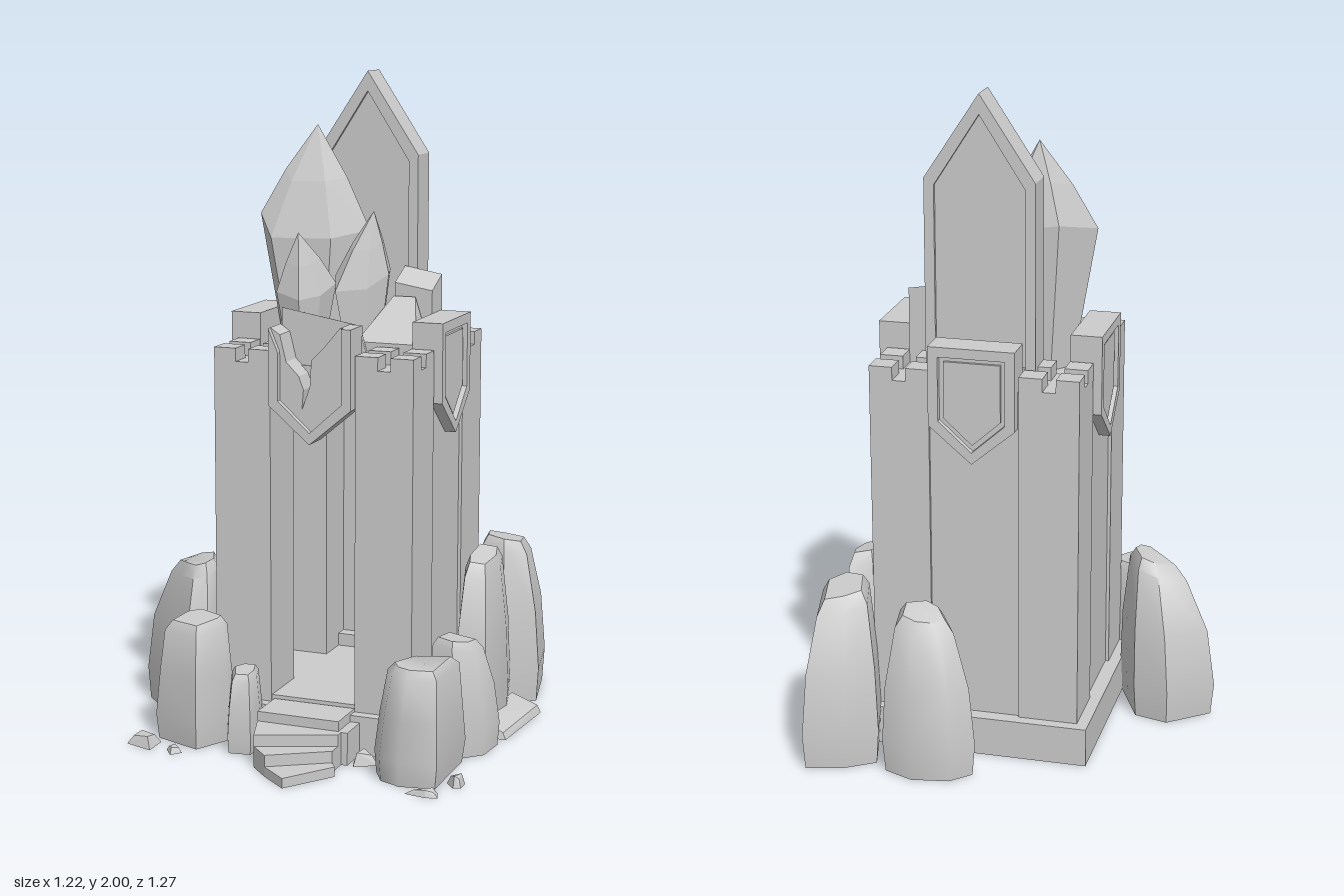
import * as THREE from 'three';
import { ConvexGeometry } from 'three/addons/geometries/ConvexGeometry.js';
import { toCreasedNormals } from 'three/addons/utils/BufferGeometryUtils.js';

const mat = new THREE.MeshStandardMaterial({ color: 0xcccccc, side: THREE.DoubleSide });

// Adds a mesh, leaving out any face that lies on the ground (parts are open underneath)
function add(parent, name, geometry) {
  const src = geometry.index ? geometry.toNonIndexed() : geometry;
  const p = src.attributes.position, n = src.attributes.normal;
  const pos = [], nor = [];
  for (let i = 0; i < p.count; i += 3) {
    if (Math.max(p.getY(i), p.getY(i + 1), p.getY(i + 2)) < 1e-4) continue;
    for (let j = i; j < i + 3; j++) {
      pos.push(p.getX(j), p.getY(j), p.getZ(j));
      nor.push(n.getX(j), n.getY(j), n.getZ(j));
    }
  }
  const open = new THREE.BufferGeometry();
  open.setAttribute('position', new THREE.Float32BufferAttribute(pos, 3));
  open.setAttribute('normal', new THREE.Float32BufferAttribute(nor, 3));
  const mesh = new THREE.Mesh(open, mat);
  mesh.name = name;
  parent.add(mesh);
}

// Box given by its min and max corners
function box(parent, name, x0, x1, y0, y1, z0, z1) {
  const g = new THREE.BoxGeometry(x1 - x0, y1 - y0, z1 - z0);
  g.translate((x0 + x1) / 2, (y0 + y1) / 2, (z0 + z1) / 2);
  add(parent, name, g);
}

const toShape = (pts) => new THREE.Shape(pts.map(([x, y]) => new THREE.Vector2(x, y)));

// Flat outline extruded along z from z0 to z1, or laid flat and extruded upwards
function plate(parent, name, pts, z0, z1, hole, flat) {
  const shape = toShape(pts);
  if (hole) shape.holes.push(toShape(hole));
  const g = new THREE.ExtrudeGeometry(shape, { depth: z1 - z0, bevelEnabled: false });
  g.translate(0, 0, z0);
  if (flat) g.rotateX(-Math.PI / 2);
  add(parent, name, g);
}

// Outline with a flat end at y0, shoulders at y1 and a point at y2
const pointed = (w, y0, y1, y2) => [[-w, y0], [w, y0], [w, y1], [0, y2], [-w, y1]];

function hull(parent, name, pts, crease) {
  let g = new ConvexGeometry(pts.map((p) => new THREE.Vector3(...p)));
  if (crease) g = toCreasedNormals(g, crease);
  add(parent, name, g);
}

// Boulder from its footprint [x, z], leaning and tapering to a tilted cap
function boulder(parent, foot, h, tilt, top = 0.55, lean = [0, 0]) {
  const n = foot.length;
  const cx = foot.reduce((s, p) => s + p[0], 0) / n;
  const cz = foot.reduce((s, p) => s + p[1], 0) / n;
  const rings = [[0, 0.94], [0.2, 1], [0.55, 0.9], [0.9, top + 0.08], [0.97, top - 0.1]];
  const pts = [];
  for (const [t, s] of rings) {
    for (const [x, z] of foot) {
      const dx = (x - cx) * s, dz = (z - cz) * s;
      const rise = t > 0.8 ? dx * tilt[0] + dz * tilt[1] : 0;
      pts.push([cx + dx + lean[0] * t * t, h * t + rise, cz + dz + lean[1] * t * t]);
    }
  }
  hull(parent, 'boulder', pts, 0.8);
}

// Crystal: belt of [x, y, z] points, bulging up to a tip and narrowing to a foot
function crystal(parent, name, belt, tip, foot) {
  const pts = [...belt, tip];
  for (const [x, y, z] of belt) {
    pts.push([tip[0] + (x - tip[0]) * 0.56, (y + tip[1]) / 2, tip[2] + (z - tip[2]) * 0.56]);
    pts.push([foot[0] + (x - foot[0]) * 0.55, foot[1], foot[2] + (z - foot[2]) * 0.55]);
  }
  hull(parent, name, pts);
}

function buildTower() {
  const tower = new THREE.Group();
  tower.name = 'tower';
  tower.position.set(0.055, 0, -0.065);

  // Hollow plinth frame
  const sq = (r) => [[-r, -r], [r, -r], [r, r], [-r, r]];
  plate(tower, 'plinth', sq(0.35), 0, 0.12, sq(0.3), true);

  // Hollow, cross-shaped room: thin walls between the pillars, floor and roof
  for (const s of [-1, 1]) {
    const x = s * 0.295;
    box(tower, 'sideWall', x - 0.01, x + 0.01, 0.08, 1.15, -0.135, 0.135);
  }
  box(tower, 'backWall', -0.135, 0.135, 0.08, 1.15, -0.305, -0.285);
  box(tower, 'floor', -0.29, 0.29, 0.08, 0.14, -0.29, 0.31);
  box(tower, 'backLedge', -0.135, 0.135, 0.14, 0.18, -0.285, -0.24);
  box(tower, 'roof', -0.29, 0.29, 1.09, 1.15, -0.29, 0.25);

  // Corner pillars, each crowned with four merlons
  for (const sx of [-1, 1]) for (const sz of [-1, 1]) {
    const x = sx * 0.225, z = sz * 0.225;
    box(tower, 'cornerPillar', x - 0.09, x + 0.09, 0, 1.16, z - 0.09, z + 0.09);
    for (const mx of [-1, 1]) for (const mz of [-1, 1]) {
      const cx = x + mx * 0.055, cz = z + mz * 0.055;
      box(tower, 'merlon', cx - 0.035, cx + 0.035, 1.16, 1.2, cz - 0.035, cz + 0.035);
    }
  }

  // Shield plaques on the three whole sides
  const outer = pointed(0.13, 1.28, 1.04, 0.93);
  const inner = pointed(0.1, 1.25, 1.055, 0.965);
  const core = pointed(0.085, 1.235, 1.062, 0.985);
  for (const a of [Math.PI / 2, Math.PI, -Math.PI / 2]) {
    const shield = new THREE.Group();
    shield.name = 'shield';
    shield.rotation.y = a;
    plate(shield, 'shieldBack', outer, 0.245, 0.322);
    plate(shield, 'shieldRim', outer, 0.322, 0.34, inner);
    plate(shield, 'shieldPanel', core, 0.322, 0.331);
    tower.add(shield);
  }

  // Front shield split by a jagged crack, its rim open at the top
  const broken = new THREE.Group();
  broken.name = 'brokenShield';
  plate(broken, 'crackedPanel', [[-0.13, 1.27], [-0.13, 1.04], [0, 0.93], [0.13, 1.04], [0.13, 1.28],
    [0.09, 1.28], [0.04, 1.22], [0.0, 1.18], [-0.005, 1.1], [-0.03, 1.03], [-0.025, 1.09],
    [-0.04, 1.13], [-0.08, 1.17], [-0.1, 1.25]], 0.245, 0.322);
  plate(broken, 'openRim', [[-0.13, 1.27], [-0.13, 1.04], [0, 0.93], [0.13, 1.04], [0.13, 1.28],
    [0.1, 1.28], [0.1, 1.055], [0, 0.965], [-0.1, 1.055], [-0.1, 1.2]], 0.322, 0.34);
  tower.add(broken);

  // Tall pointed slab with a sunken panel on both faces
  const spire = new THREE.Group();
  spire.name = 'spire';
  const rim = pointed(0.165, 1.14, 1.75, 2.0);
  const panel = pointed(0.135, 1.2, 1.73, 1.94);
  plate(spire, 'spireFrame', rim, -0.235, -0.135, panel);
  plate(spire, 'spirePanel', panel, -0.224, -0.146);
  tower.add(spire);
  return tower;
}

export function createModel() {
  const model = new THREE.Group();
  model.name = 'ruinedTower';
  model.add(buildTower());

  // Crystals on the roof
  crystal(model, 'largeCrystal', [[-0.24, 1.57, -0.06], [-0.15, 1.6, -0.18], [0.01, 1.58, -0.195],
    [0.08, 1.52, -0.16], [-0.01, 1.5, -0.06], [-0.19, 1.5, -0.02]], [-0.08, 1.84, -0.13], [-0.08, 1.13, -0.11]);
  crystal(model, 'smallCrystal', [[-0.15, 1.36, 0.01], [-0.06, 1.38, -0.03], [0.02, 1.37, -0.03],
    [0.0, 1.34, 0.05], [-0.05, 1.33, 0.1], [-0.13, 1.35, 0.08]], [-0.065, 1.53, 0.065], [-0.06, 1.13, 0.03]);
  crystal(model, 'smallCrystal', [[0.14, 1.4, -0.18], [0.175, 1.4, -0.07], [0.13, 1.36, 0.0],
    [0.06, 1.36, 0.08], [0.03, 1.4, 0.0], [0.07, 1.4, -0.1]], [0.13, 1.59, -0.06], [0.11, 1.13, -0.04]);

  // Broken blocks on the roof
  const rubble = (x0, x1, z0, z1, ys, inset = 0) => hull(model, 'rubbleBlock', [
    [x0, 1.14, z0], [x1, 1.14, z0], [x0, 1.14, z1], [x1, 1.14, z1],
    [x0 + inset, ys[0], z0], [x1 - inset, ys[1], z0], [x0, ys[2], z1], [x1, ys[3], z1]]);
  rubble(-0.07, 0.17, 0.07, 0.18, [1.29, 1.25, 1.32, 1.28], 0.03);
  rubble(0.12, 0.31, -0.1, 0.06, [1.33, 1.33, 1.21, 1.21], 0.06);
  rubble(0.18, 0.3, -0.2, -0.11, [1.41, 1.39, 1.37, 1.35]);

  // Entrance steps, fanning round towards one side
  box(model, 'topStep', -0.07, 0.19, 0, 0.13, 0.25, 0.38);
  box(model, 'sideStone', 0.19, 0.22, 0, 0.1, 0.28, 0.385);
  const edges = [[-0.07, 0.38, 0.2, 0.38], [-0.03, 0.5, 0.2, 0.41], [0.03, 0.56, 0.2, 0.455], [0.115, 0.63, 0.22, 0.485]];
  [0.1, 0.065, 0.03].forEach((h, i) => {
    const [a, b, c, d] = edges[i], [e, f, g, k] = edges[i + 1];
    hull(model, 'fanStep', [0, h].flatMap((y) => [[a, y, b], [c, y, d], [e, y, f], [g, y, k]]));
  });

  // Boulders round the foot
  boulder(model, [[0.01, -0.55], [0.07, -0.61], [0.19, -0.63], [0.285, -0.59], [0.3, -0.45], [0.18, -0.39], [0.09, -0.43]], 0.5, [0.1, 0.2], 0.55, [0.02, 0.03]);
  boulder(model, [[0.31, -0.55], [0.4, -0.61], [0.52, -0.64], [0.57, -0.4], [0.48, -0.32], [0.36, -0.36]], 0.54, [-0.15, 0.15], 0.58, [0, 0.04]);
  boulder(model, [[0.39, -0.1], [0.395, -0.29], [0.5, -0.32], [0.53, -0.2], [0.51, -0.03], [0.42, 0.0]], 0.55, [-0.2, -0.15], 0.58);
  boulder(model, [[0.4, 0.18], [0.41, 0.01], [0.58, 0.04], [0.57, 0.15], [0.5, 0.22]], 0.36, [-0.1, 0.1], 0.62, [-0.02, 0.02]);
  boulder(model, [[0.31, 0.4], [0.37, 0.27], [0.53, 0.22], [0.53, 0.48], [0.42, 0.5], [0.35, 0.47]], 0.35, [0, 0], 0.7, [0.02, 0]);
  boulder(model, [[-0.61, 0.02], [-0.48, -0.085], [-0.37, -0.055], [-0.29, 0.12], [-0.31, 0.22], [-0.38, 0.24], [-0.5, 0.13]], 0.51, [0.25, -0.1], 0.52, [0.03, 0]);
  boulder(model, [[-0.41, 0.37], [-0.385, 0.24], [-0.33, 0.2], [-0.19, 0.27], [-0.19, 0.31], [-0.25, 0.43]], 0.39, [0.05, -0.1], 0.7);
  boulder(model, [[-0.195, 0.32], [-0.16, 0.27], [-0.1, 0.265], [-0.075, 0.34], [-0.08, 0.41], [-0.15, 0.42]], 0.25, [0, -0.1], 0.65);

  // Low slab and scattered pebbles
  hull(model, 'lowSlab', [[0.49, 0, -0.3], [0.61, 0, -0.295], [0.585, 0, -0.005], [0.5, 0, 0.0],
    [0.51, 0.05, -0.31], [0.6, 0.025, -0.29], [0.575, 0.02, -0.01], [0.5, 0.05, -0.02]]);
  const pebbles = [
    [0.035, [-0.47, 0.45], [-0.45, 0.4], [-0.38, 0.4], [-0.38, 0.48]],
    [0.02, [-0.335, 0.455], [-0.31, 0.44], [-0.28, 0.465], [-0.305, 0.495]],
    [0.04, [0.23, 0.36], [0.25, 0.315], [0.305, 0.35], [0.24, 0.39]],
    [0.035, [0.54, 0.415], [0.59, 0.4], [0.59, 0.44], [0.57, 0.45]],
    [0.02, [0.455, 0.54], [0.54, 0.5], [0.555, 0.54], [0.52, 0.55]],
  ];
  for (const [h, ...foot] of pebbles) {
    const cx = foot.reduce((s, p) => s + p[0], 0) / 4, cz = foot.reduce((s, p) => s + p[1], 0) / 4;
    hull(model, 'pebble', [...foot.map(([x, z]) => [x, 0, z]),
      ...foot.map(([x, z], i) => [cx + (x - cx) * 0.6, h * (i % 2 ? 1 : 0.75), cz + (z - cz) * 0.6])]);
  }
  return model;
}
